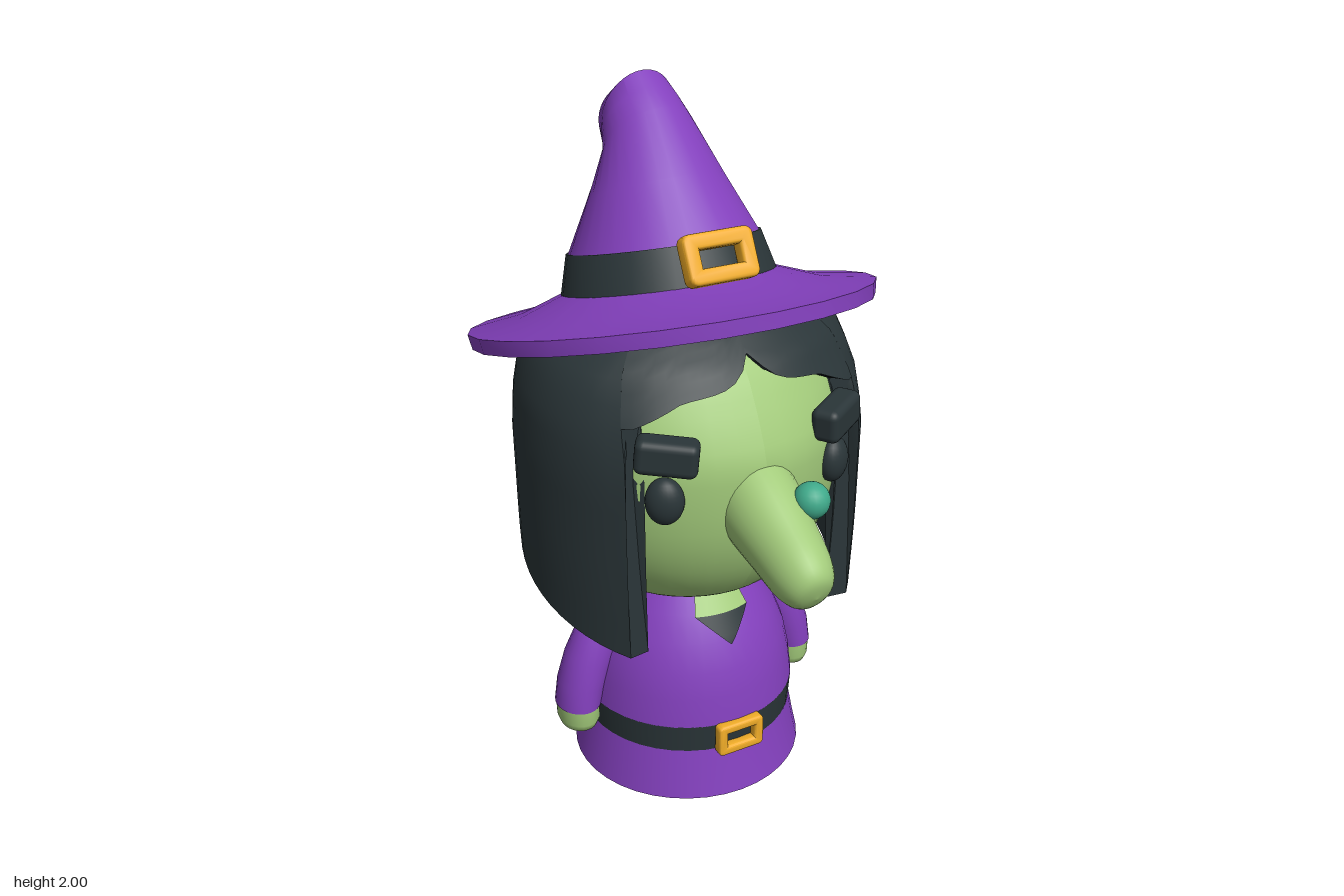
import * as THREE from 'three';
import { toCreasedNormals } from 'three/addons/utils/BufferGeometryUtils.js';
import { RoundedBoxGeometry } from 'three/addons/geometries/RoundedBoxGeometry.js';

const mat = (color) => new THREE.MeshStandardMaterial({ color, side: THREE.DoubleSide });
const purple = mat(0x8340bd), green = mat(0xa3cb7b), dark = mat(0x2a3538);
const gold = mat(0xf0ac28), teal = mat(0x3fa98a);
const V2 = (p) => new THREE.Vector2(p[0], p[1]);

function add(parent, name, geo, material, x = 0, y = 0, z = 0) {
  const m = new THREE.Mesh(geo, material);
  m.name = name;
  m.position.set(x, y, z);
  parent.add(m);
  return m;
}

// Piecewise linear lookup in [value, key] pairs with rising keys
function lookup(pts, key) {
  if (key <= pts[0][1]) return pts[0][0];
  for (let i = 1; i < pts.length; i++) {
    const [a, ka] = pts[i - 1], [b, kb] = pts[i];
    if (key <= kb) return a + (b - a) * (key - ka) / (kb - ka);
  }
  return pts[pts.length - 1][0];
}

const lathe = (pts, seg = 32) => new THREE.LatheGeometry(pts.map(V2), seg);
const smoothLathe = (pts, seg = 40) =>
  new THREE.LatheGeometry(new THREE.SplineCurve(pts.map(V2)).getPoints(28).map((p) => p.setX(Math.max(0, p.x))), seg);

// Closed-ring geometry from loops of equal length
function skin(loops, closeLoops, crease) {
  const n = loops[0].length, L = loops.length, idx = [];
  for (let i = 0; i < (closeLoops ? L : L - 1); i++) {
    for (let j = 0; j < n; j++) {
      const k = (j + 1) % n, i2 = (i + 1) % L;
      idx.push(i * n + j, i * n + k, i2 * n + j, i * n + k, i2 * n + k, i2 * n + j);
    }
  }
  const g = new THREE.BufferGeometry();
  g.setAttribute('position', new THREE.Float32BufferAttribute(loops.flat(2), 3));
  g.setIndex(idx);
  g.computeVertexNormals();
  return crease ? toCreasedNormals(g, crease) : g;
}

// Rings given by front [z, y], back [z, y] and half width along x
function loft(rings, seg = 24) {
  return skin(rings.map(([fz, fy, bz, by, w]) => Array.from({ length: seg }, (_, j) => {
    const a = j / seg * Math.PI * 2, c = Math.cos(a) / 2;
    return [w * Math.sin(a), (fy + by) / 2 + c * (fy - by), (fz + bz) / 2 + c * (fz - bz)];
  })), false, 0.9);
}

function buckle(w, h, bar, depth) {
  const rect = (S, a, b, r) => {
    const s = new S();
    s.moveTo(-a + r, -b); s.lineTo(a - r, -b); s.quadraticCurveTo(a, -b, a, -b + r);
    s.lineTo(a, b - r); s.quadraticCurveTo(a, b, a - r, b);
    s.lineTo(-a + r, b); s.quadraticCurveTo(-a, b, -a, b - r);
    s.lineTo(-a, -b + r); s.quadraticCurveTo(-a, -b, -a + r, -b);
    return s;
  };
  const e = bar * 0.25, shape = rect(THREE.Shape, w / 2 - e, h / 2 - e, bar * 0.3);
  shape.holes.push(rect(THREE.Path, w / 2 - bar + e, h / 2 - bar + e, bar * 0.15));
  const g = new THREE.ExtrudeGeometry(shape, { depth: depth - 2 * e, bevelThickness: e, bevelSize: e, bevelSegments: 3, curveSegments: 4 });
  return toCreasedNormals(g.translate(0, 0, e - depth / 2), 0.7);
}

// The forehead slopes back, and everything stays below the tilted hat
const HZ = -0.03;
function underHat(x, y, z, drop = 0) {
  const zz = (z > 0 ? z * (1 - 0.8 * Math.max(0, y - 1.13)) : z) + HZ;
  return [x, y > 1.1 ? Math.min(y, 1.37 - drop + (zz + 0.11) * 0.28) : y, zz];
}

// Hair shell with a face opening, slanted hem and parted fringe
function hairGeometry() {
  const radius = [[0.475, 0.55], [0.485, 0.8], [0.488, 1.1], [0.475, 1.25], [0.43, 1.36], [0.35, 1.43], [0.22, 1.48], [0.02, 1.51]];
  const fringe = [[1.385, 0], [1.335, 0.05], [1.315, 0.1], [1.3, 0.2], [1.24, 0.31]];
  const cols = [], rad = Math.PI / 180, rows = 14;
  for (let i = 0; i <= 24; i++) {
    const o = -47 + 94 * i / 24;
    cols.push([o, o * 43 / 47, true]);
  }
  for (let i = 0; i <= 48; i++) cols.push([47 + 266 * i / 48, 43 + 274 * i / 48, false]);
  const loops = cols.map(([o, inn, isFringe]) => {
    const point = (deg, t, thick) => {
      const a = deg * rad;
      const bot = isFringe ? lookup(fringe, Math.abs(0.45 * Math.sin(a)))
        : 0.57 + (0.3 - (0.485 * Math.cos(a) + HZ)) * 0.28;
      const y = 1.51 - (1.51 - bot) * Math.pow(t, 1.4);
      const r = Math.max(0.005, lookup(radius, y) - thick);
      return underHat(r * Math.sin(a), y, r * Math.cos(a));
    };
    const loop = [];
    for (let k = 0; k <= rows; k++) loop.push(point(o, k / rows, 0));
    for (let k = rows; k >= 0; k--) loop.push(point(inn, k / rows, 0.055));
    return loop;
  });
  return skin(loops, true, 0.7);
}

export function createModel() {
  const model = new THREE.Group();
  model.name = 'witch';
  const BZ = -0.037;

  // Robe and belt
  const robe = [[0.32, 0.235], [0.31, 0.32], [0.293, 0.4], [0.262, 0.48], [0.22, 0.55], [0.15, 0.65], [0.1, 0.68]];
  add(model, 'skirt', toCreasedNormals(lathe([[0, 0], [0.345, 0], [0.33, 0.07], [0.315, 0.15]], 40), 0.7), purple, 0, 0, BZ);
  add(model, 'belt', lathe([[0.314, 0.148], [0.32, 0.236]], 40), dark, 0, 0, BZ);
  add(model, 'robe', lathe(robe, 40), purple, 0, 0, BZ);
  add(model, 'beltBuckle', buckle(0.146, 0.1, 0.028, 0.035), gold, 0, 0.19, 0.287);

  // Neckline patches laid on the robe
  const patch = (y0, y1, w0, w1) => {
    const g = new THREE.PlaneGeometry(1, 1, 10, 6), p = g.attributes.position;
    for (let i = 0; i < p.count; i++) {
      const t = p.getY(i) + 0.5, y = y0 + (y1 - y0) * t, x = p.getX(i) * 2 * (w0 + (w1 - w0) * t);
      p.setXYZ(i, x, y, Math.sqrt(lookup(robe, y) ** 2 - x * x) + 0.008);
    }
    g.computeVertexNormals();
    return g;
  };
  add(model, 'neck', patch(0.55, 0.66, 0.085, 0.05), green, 0, 0, BZ);
  add(model, 'collar', patch(0.47, 0.55, 0.001, 0.085), dark, 0, 0, BZ);

  // Head
  const head = smoothLathe([[0, 0.65], [0.24, 0.65], [0.3, 0.675], [0.37, 0.77], [0.415, 0.89], [0.432, 1.03], [0.428, 1.15], [0.41, 1.26], [0.36, 1.36], [0.2, 1.42], [0, 1.44]]);
  const hp = head.attributes.position;
  for (let i = 0; i < hp.count; i++) hp.setXYZ(i, ...underHat(hp.getX(i), hp.getY(i), hp.getZ(i), 0.03));
  head.computeVertexNormals();
  add(model, 'head', head, green);
  add(model, 'hair', hairGeometry(), dark);

  // Nose and wart
  const nose = add(model, 'nose', smoothLathe([[0.13, -0.1], [0.125, 0.03], [0.108, 0.15], [0.092, 0.25], [0.06, 0.305], [0, 0.32]], 28), green, 0, 0.985, 0.365);
  nose.rotation.x = Math.PI / 2 + 0.44;
  nose.scale.x = 0.88;
  add(model, 'wart', new THREE.SphereGeometry(0.05, 20, 14), teal, 0.082, 1.033, 0.49);

  for (const s of [1, -1]) {
    const side = s > 0 ? 'left' : 'right';
    // Eyes and brows
    const eye = add(model, side + 'Eye', new THREE.SphereGeometry(1, 24, 16), dark, s * 0.257, 1.04, 0.325);
    eye.scale.set(0.052, 0.066, 0.04);
    eye.rotation.y = s * 0.55;
    const brow = add(model, side + 'Brow', new RoundedBoxGeometry(0.165, 0.095, 0.08, 3, 0.022), dark, s * 0.255, 1.173, 0.335);
    brow.rotation.set(0, s * 0.55, s * 0.09);

    // Sleeve and hand
    const arm = new THREE.Group();
    arm.name = side + 'Arm';
    arm.position.z = BZ;
    arm.rotation.y = s * Math.PI / 2;
    model.add(arm);
    add(arm, 'sleeve', loft([
      [0.33, 0.235, 0.33, 0.235, 0.01], [0.43, 0.232, 0.3, 0.232, 0.08], [0.42, 0.31, 0.285, 0.29, 0.079], [0.393, 0.4, 0.26, 0.35, 0.075],
      [0.345, 0.5, 0.21, 0.43, 0.067], [0.27, 0.585, 0.14, 0.5, 0.053], [0.19, 0.635, 0.08, 0.56, 0.035],
      [0.11, 0.66, 0.05, 0.61, 0.02]]), purple);
    const hand = add(arm, 'hand', lathe([[0, 0.153], [0.035, 0.154], [0.052, 0.163], [0.06, 0.185], [0.062, 0.24]], 24), green, 0, 0, 0.365);
    hand.scale.x = 1.27;
  }

  // Tilted brim and band
  const hat = new THREE.Group();
  hat.name = 'hat';
  model.add(hat);
  const base = new THREE.Group();
  base.name = 'hatBase';
  base.position.set(0, 1.37, -0.11);
  base.rotation.x = -0.275;
  hat.add(base);
  add(base, 'brim', toCreasedNormals(lathe([[0, -0.02], [0.56, -0.022], [0.567, 0.02], [0.42, 0.042], [0.3, 0.085]], 24), 0.6), purple);
  add(base, 'hatBand', lathe([[0.303, 0.07], [0.27, 0.192], [0.255, 0.192]], 32), dark);

  // Pointed crown with a bent tip
  add(hat, 'crown', loft([
    [0.094, 1.624, -0.416, 1.481, 0.265], [-0.03, 1.77, -0.375, 1.62, 0.192], [-0.16, 1.92, -0.335, 1.725, 0.13],
    [-0.215, 1.963, -0.345, 1.752, 0.118], [-0.265, 2.0, -0.36, 1.765, 0.105], [-0.37, 1.943, -0.385, 1.765, 0.085],
    [-0.47, 1.88, -0.42, 1.75, 0.052], [-0.505, 1.68, -0.503, 1.68, 0.002]], 32), purple);
  const hatBuckle = add(hat, 'hatBuckle', buckle(0.205, 0.135, 0.043, 0.05), gold, 0, 1.598, 0.143);
  hatBuckle.rotation.x = -0.47;

  return model;
}
